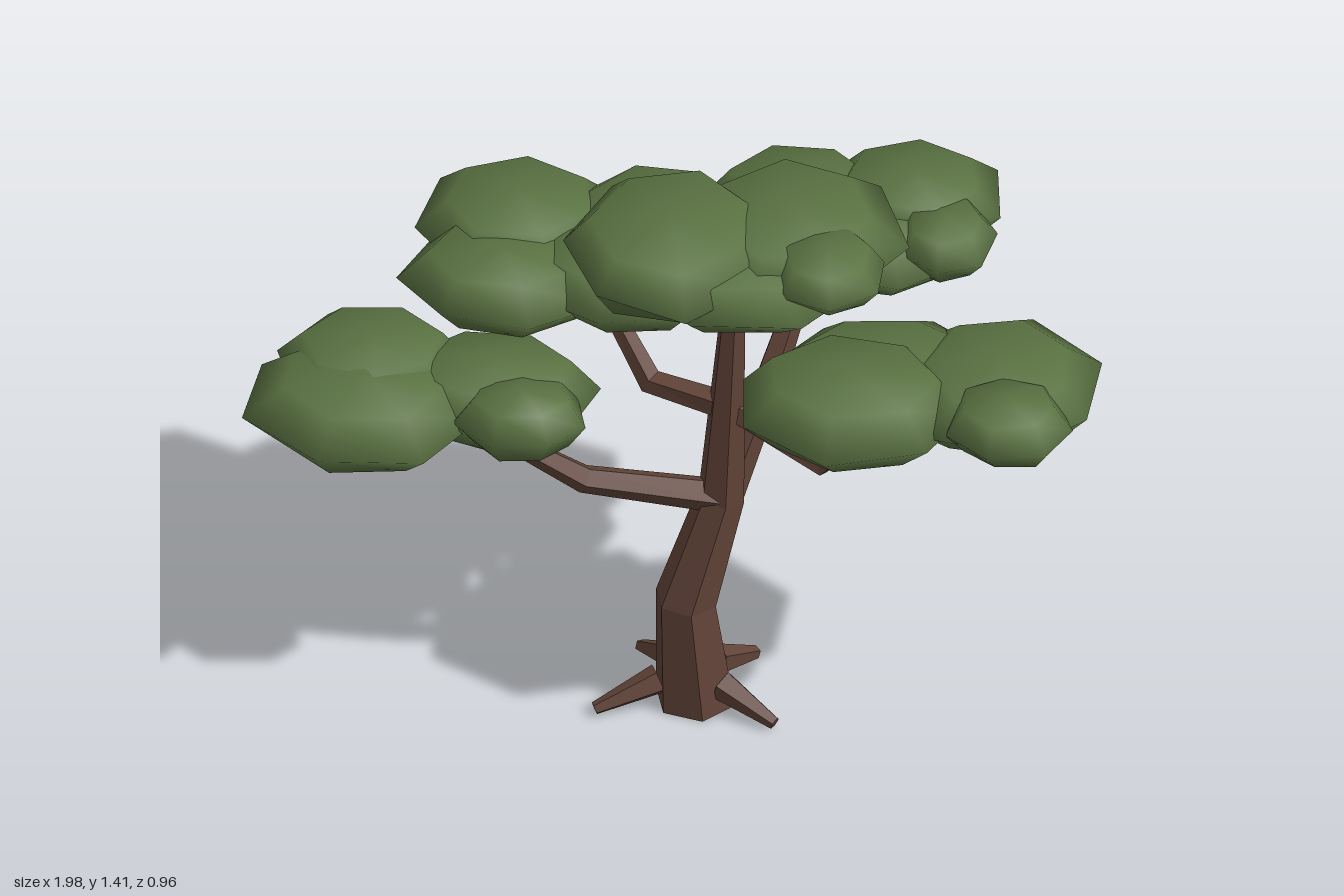
import * as THREE from 'three';
import { mergeVertices } from 'three/addons/utils/BufferGeometryUtils.js';

const UP = new THREE.Vector3(0, 1, 0);

// Tapered limb with faceted sides; points are [x, y, z, radius]
function limbGeometry(points, sides, flatBase = false) {
  const centres = points.map(p => new THREE.Vector3(p[0], p[1], p[2]));
  const last = points.length - 1;
  const pos = [], index = [];
  points.forEach((p, i) => {
    const dir = new THREE.Vector3();
    if (i > 0) dir.add(centres[i].clone().sub(centres[i - 1]).normalize());
    if (i < last) dir.add(centres[i + 1].clone().sub(centres[i]).normalize());
    if (flatBase && i === 0) dir.copy(UP);
    const q = new THREE.Quaternion().setFromUnitVectors(UP, dir.normalize());
    for (let s = 0; s < sides; s++) {
      const a = (s / sides) * Math.PI * 2 + 0.3;
      const v = new THREE.Vector3(Math.sin(a) * p[3], 0, Math.cos(a) * p[3]);
      pos.push(...v.applyQuaternion(q).add(centres[i]).toArray());
    }
  });
  for (let i = 0; i < last; i++) {
    for (let s = 0; s < sides; s++) {
      const a = i * sides + s, b = i * sides + (s + 1) % sides;
      index.push(a, b, b + sides, a, b + sides, a + sides);
    }
  }
  // End caps
  for (let s = 1; s < sides - 1; s++) {
    index.push(0, s + 1, s);
    index.push(last * sides, last * sides + s, last * sides + s + 1);
  }
  const geo = new THREE.BufferGeometry();
  geo.setAttribute('position', new THREE.Float32BufferAttribute(pos, 3));
  geo.setIndex(index);
  const flat = geo.toNonIndexed();
  flat.computeVertexNormals();
  return flat;
}

// Flattened leaf clump with an angular, irregular rim and smooth normals
function clumpGeometry([x, y, z, rx, ry, rz], seed) {
  let s = seed * 7919 + 13;
  const rand = () => ((s = (s * 16807) % 2147483647) / 2147483647);
  let geo = new THREE.SphereGeometry(1, 7, 4);
  geo.deleteAttribute('normal');
  geo.deleteAttribute('uv');
  geo = mergeVertices(geo, 1e-3);
  geo.rotateY(seed * 1.3);
  const p = geo.attributes.position;
  for (let i = 0; i < p.count; i++) {
    const k = 1.02 + rand() * 0.13;
    const h = p.getY(i);
    const lift = Math.sign(h) * Math.pow(Math.abs(h), 0.7) + (rand() - 0.5) * 0.2 * (1 - Math.abs(h));
    p.setXYZ(i, p.getX(i) * rx * k, lift * ry, p.getZ(i) * rz * k);
  }
  geo.translate(x, y, z);
  geo.computeVertexNormals();
  return geo;
}

export function createModel() {
  const bark = new THREE.MeshStandardMaterial({ color: 0x624439, flatShading: true });
  bark.name = 'bark brown';
  const leaves = new THREE.MeshStandardMaterial({ color: 0x5a7242 });
  leaves.name = 'leaf green';

  const tree = new THREE.Group();
  tree.name = 'tree';
  const add = (name, geo, mat) => {
    const mesh = new THREE.Mesh(geo, mat);
    mesh.name = name;
    tree.add(mesh);
  };

  // Bent trunk rising into the top canopy
  add('trunk', limbGeometry([
    [0.045, 0.005, 0.09, 0.098], [0.025, 0.31, 0.11, 0.075],
    [0.105, 0.6, 0.08, 0.057], [0.138, 1.24, 0.095, 0.026],
  ], 6, true), bark);

  // Branches
  const branches = {
    lowBranch: [[0.1, 0.605, 0.09, 0.043], [-0.21, 0.66, 0.14, 0.035], [-0.47, 0.86, 0.21, 0.02]],
    middleBranch: [[0.12, 0.87, 0.09, 0.035], [-0.07, 0.87, 0.02, 0.032], [-0.2, 1.07, -0.06, 0.022]],
    sideBranch: [[0.14, 0.86, 0.08, 0.037], [0.35, 0.75, 0.12, 0.035], [0.51, 0.94, 0.18, 0.021]],
    backBranch: [[0.105, 0.58, 0.075, 0.047], [0.2, 0.86, -0.02, 0.038], [0.29, 1.16, -0.14, 0.025]],
  };
  for (const [name, pts] of Object.entries(branches)) add(name, limbGeometry(pts, 5), bark);

  // Roots spreading from the foot of the trunk
  [[-0.18, 0.19], [0.245, 0.19], [0.165, -0.075], [-0.105, -0.065]].forEach(([x, z], i) => {
    const t = 0.35;
    add('root' + (i + 1), limbGeometry([
      [0.04 + (x - 0.04) * t, 0.075, 0.09 + (z - 0.09) * t, 0.038],
      [x, 0.023, z, 0.016],
    ], 5), bark);
  });

  // Canopies: each clump is [x, y, z, rx, ry, rz]
  const canopies = {
    lowCanopy: [
      [-0.72, 0.91, 0.25, 0.265, 0.1, 0.22], [-0.71, 0.945, 0.13, 0.21, 0.08, 0.18],
      [-0.34, 0.93, 0.275, 0.145, 0.08, 0.12], [-0.42, 0.915, 0.16, 0.24, 0.095, 0.18],
    ],
    middleCanopy: [
      [-0.41, 1.14, -0.19, 0.23, 0.1, 0.2], [-0.09, 1.15, -0.2, 0.21, 0.09, 0.2],
      [-0.42, 1.125, 0, 0.23, 0.09, 0.18], [-0.14, 1.13, -0.05, 0.23, 0.09, 0.2],
    ],
    topCanopy: [
      [-0.01, 1.32, 0.09, 0.245, 0.1, 0.26], [0.26, 1.315, 0, 0.25, 0.095, 0.25],
      [0.365, 1.34, 0.15, 0.13, 0.065, 0.14], [0.16, 1.29, 0.13, 0.27, 0.08, 0.2],
    ],
    backCanopy: [
      [0.25, 1.21, -0.25, 0.22, 0.095, 0.195], [0.51, 1.225, -0.29, 0.205, 0.09, 0.18],
      [0.605, 1.235, -0.14, 0.115, 0.07, 0.13], [0.42, 1.195, -0.17, 0.25, 0.085, 0.18],
    ],
    sideCanopy: [
      [0.43, 1.0, 0.22, 0.26, 0.105, 0.205], [0.77, 1.01, 0.12, 0.225, 0.085, 0.24],
      [0.81, 1.03, 0.28, 0.145, 0.075, 0.13], [0.5, 0.99, 0.1, 0.27, 0.085, 0.21],
    ],
  };
  let seed = 1;
  for (const [name, clumps] of Object.entries(canopies)) {
    clumps.forEach((c, i) => add(name + 'Clump' + (i + 1), clumpGeometry(c, seed++), leaves));
  }
  return tree;
}
